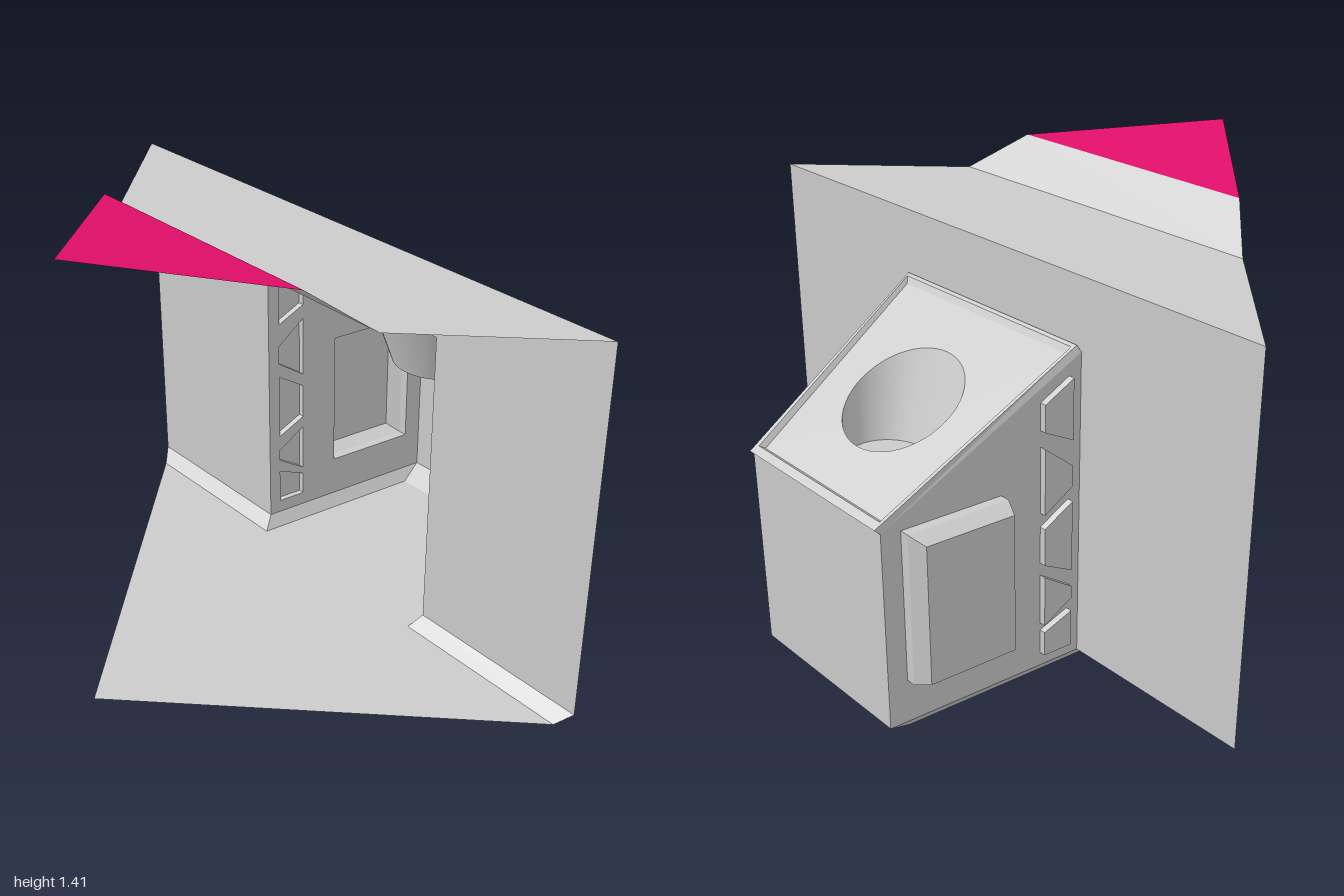
import * as THREE from 'three';

const grey = new THREE.MeshStandardMaterial({ color: 0xcccccc, side: THREE.DoubleSide });
const pink = new THREE.MeshStandardMaterial({ color: 0xe00f6a, side: THREE.DoubleSide });

// Half width of the pod, narrowing toward its outer end
const podHalf = (x) => 0.38 - (x - 0.17) * 0.125;
// Height of the sunken sloping panel
const panelY = (x) => 0.85 - 0.56 * (x - 0.495);

function part(name, geometry, material = grey) {
  const mesh = new THREE.Mesh(geometry, material);
  mesh.name = name;
  return mesh;
}

// Skin between successive closed loops of points, with an optional end cap
function loft(loops, { smooth = false, cap = false } = {}) {
  const n = loops[0].length;
  const index = [];
  for (let r = 0; r < loops.length - 1; r++) {
    for (let i = 0; i < n; i++) {
      const a = r * n + i, b = r * n + (i + 1) % n;
      index.push(a, b, b + n, a, b + n, a + n);
    }
  }
  if (cap) {
    const s = (loops.length - 1) * n;
    for (let i = 1; i < n - 1; i++) index.push(s, s + i, s + i + 1);
  }
  let g = new THREE.BufferGeometry();
  g.setAttribute('position', new THREE.Float32BufferAttribute(loops.flat(2), 3));
  g.setIndex(index);
  if (!smooth) g = g.toNonIndexed();
  g.computeVertexNormals();
  return g;
}

// Single flat convex face
const face = (...pts) => loft([pts], { cap: true });

// Flat outline with holes, each 2D point placed in space by a rule
function sheet(outline, holes, place) {
  const shape = new THREE.Shape(outline.map(([a, b]) => new THREE.Vector2(a, b)));
  for (const h of holes) shape.holes.push(new THREE.Path(h.map(([a, b]) => new THREE.Vector2(a, b))));
  const g = new THREE.ShapeGeometry(shape);
  const p = g.attributes.position;
  for (let i = 0; i < p.count; i++) p.setXYZ(i, ...place(p.getX(i), p.getY(i)));
  g.computeVertexNormals();
  return g;
}

// Rectangle of four points, wide at x0 and narrow at x1
const ring = (x0, y0, z0, x1, y1, z1) => [[x0, y0, z0], [x1, y1, z1], [x1, y1, -z1], [x0, y0, -z0]];

function createHousing() {
  const g = new THREE.Group();
  g.name = 'wedgeHousing';
  const wall = [[-1, 0.04], [-0.38, 0.04], [-0.38, 1.02], [0.38, 1.02], [0.38, 0.04], [1, 0.04], [1, 1.24], [-1, 1.24]];
  g.add(part('outerWall', sheet(wall, [], (z, y) => [0.17, y, z])));
  g.add(part('floor', face([-0.82, 0, 0], [0.13, 0, 0.96], [0.13, 0, -0.96])));
  g.add(part('roof', face(...ring(-0.245, 1.24, 0.58, 0.17, 1.24, 1))));
  g.add(part('roofSlope', face(...ring(-0.38, 1.35, 0.445, -0.245, 1.24, 0.58))));
  g.add(part('roofTip', face([-0.82, 1.41, 0], [-0.38, 1.35, 0.445], [-0.38, 1.35, -0.445]), pink));
  for (const s of [1, -1]) {
    g.add(part('wallBottomBevel', face([0.17, 0.04, s * 0.38], [0.13, 0, s * 0.355], [0.13, 0, s * 0.96], [0.17, 0.04, s])));
  }
  return g;
}

function createPodSide() {
  const g = new THREE.Group();
  g.name = 'podSide';
  const box = [[0.435, 0.18], [0.75, 0.18], [0.75, 0.66], [0.435, 0.66]];
  const boxTop = [[0.455, 0.2], [0.73, 0.2], [0.73, 0.64], [0.455, 0.64]];
  // Row of tapered blocks: left bottom, right bottom, right top, left top
  const blocks = [
    [0.77, 0.82, 0.905, 0.96], [0.625, 0.56, 0.77, 0.69], [0.345, 0.395, 0.515, 0.575],
    [0.25, 0.19, 0.355, 0.29], [0.085, 0.085, 0.165, 0.205],
  ].map(([a, b, c, d]) => [[0.21, a], [0.305, b], [0.305, c], [0.21, d]]);
  const outline = [[0.17, 0.04], [0.81, 0.04], [0.81, 0.67], [0.17, 1.02]];
  g.add(part('sidePanel', sheet(outline, [box, ...blocks], (x, y) => [x, y, podHalf(x)])));
  const raise = (pts, off) => pts.map(([x, y]) => [x, y, podHalf(x) + off]);
  g.add(part('sideBox', loft([raise(box, 0), raise(box, 0.03), raise(boxTop, 0.08)], { cap: true })));
  blocks.forEach((b) => g.add(part('sideBlock', loft([raise(b, 0), raise(b, 0.02)], { cap: true }))));
  g.add(part('sideBottomBevel', face([0.13, 0, 0.355], [0.73, 0, 0.28], [0.81, 0.04, 0.3], [0.17, 0.04, 0.38])));
  return g;
}

function createPod() {
  const g = new THREE.Group();
  g.name = 'pod';
  const left = createPodSide();
  const right = createPodSide();
  right.scale.z = -1;
  g.add(left, right);
  g.add(part('endPanel', face([0.81, 0.04, 0.3], [0.81, 0.04, -0.3], [0.81, 0.67, -0.3], [0.81, 0.67, 0.3])));
  g.add(part('endBottomBevel', face([0.73, 0, 0.28], [0.73, 0, -0.28], [0.81, 0.04, -0.3], [0.81, 0.04, 0.3])));
  g.add(part('podBottom', face(...ring(0.13, 0, 0.355, 0.73, 0, 0.28))));

  // Raised rim around the sloping top
  const panel = [[0.2, 0.35], [0.785, 0.275], [0.785, -0.275], [0.2, -0.35]];
  g.add(part('topRim', loft([
    ring(0.17, 1.02, 0.38, 0.81, 0.67, 0.3),
    ring(0.178, 1.04, 0.37, 0.825, 0.685, 0.295),
    ring(0.19, 1.035, 0.36, 0.8, 0.697, 0.285),
    panel.map(([x, z]) => [x, panelY(x), z]),
  ])));

  // Sloping panel with a round, tapering recess
  const circle = (cx, rx, rz) => Array.from({ length: 48 }, (_, i) => {
    const a = (i / 48) * Math.PI * 2;
    return [cx + rx * Math.cos(a), rz * Math.sin(a)];
  });
  const rim = circle(0.495, 0.165, 0.19);
  const end = circle(0.55, 0.12, 0.14).map(([x, z]) => [x, 0.67, z]);
  g.add(part('topPanel', sheet(panel, [rim], (x, z) => [x, panelY(x), z])));
  g.add(part('recessWall', loft([rim.map(([x, z]) => [x, panelY(x), z]), end], { smooth: true })));
  g.add(part('recessBottom', face(...end)));
  return g;
}

export function createModel() {
  const model = new THREE.Group();
  model.name = 'wedgeWithPod';
  model.add(createHousing(), createPod());
  return model;
}
